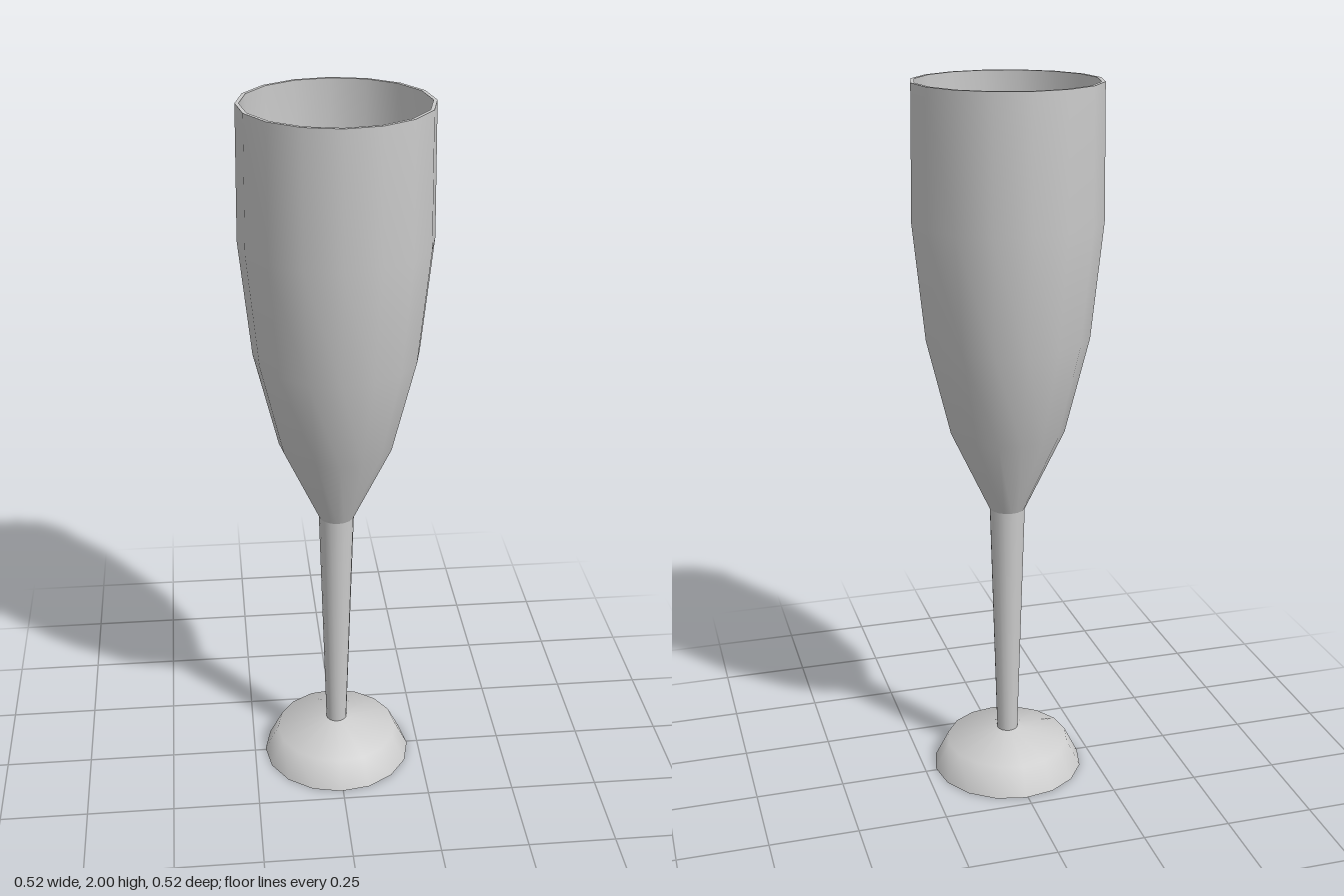
import * as THREE from 'three';

const SIDES = 16;
const TURN = -0.028; // slight rotation of the facets about the axis

export function createModel() {
  const glass = new THREE.Group();
  glass.name = 'champagneFlute';
  const material = new THREE.MeshStandardMaterial({ color: 0xcccccc });

  // Profiles are [radius, height]; going up faces outwards, going down faces inwards.
  const turned = (name, profile) => {
    const points = profile.map(([r, y]) => new THREE.Vector2(r, y));
    const mesh = new THREE.Mesh(new THREE.LatheGeometry(points, SIDES, TURN), material);
    mesh.name = name;
    glass.add(mesh);
  };

  // Foot: flat underside and a low dome
  turned('footUnderside', [[0, 0], [0.218, 0]]);
  turned('footDome', [[0.218, 0], [0.178, 0.08], [0.03, 0.115]]);

  // Tapered stem
  turned('stem', [[0.03, 0.112], [0.05, 0.815]]);

  // Bowl: outer wall, flat rim, inner wall and floor
  turned('bowlOuter', [[0.05, 0.815], [0.16, 1.05], [0.226, 1.32], [0.259, 1.64], [0.254, 2]]);
  turned('bowlRim', [[0.254, 2], [0.244, 2]]);
  turned('bowlInner', [[0.244, 2], [0.249, 1.64], [0.216, 1.325], [0.15, 1.06], [0.042, 0.825]]);
  turned('bowlFloor', [[0.042, 0.825], [0, 0.825]]);

  return glass;
}
